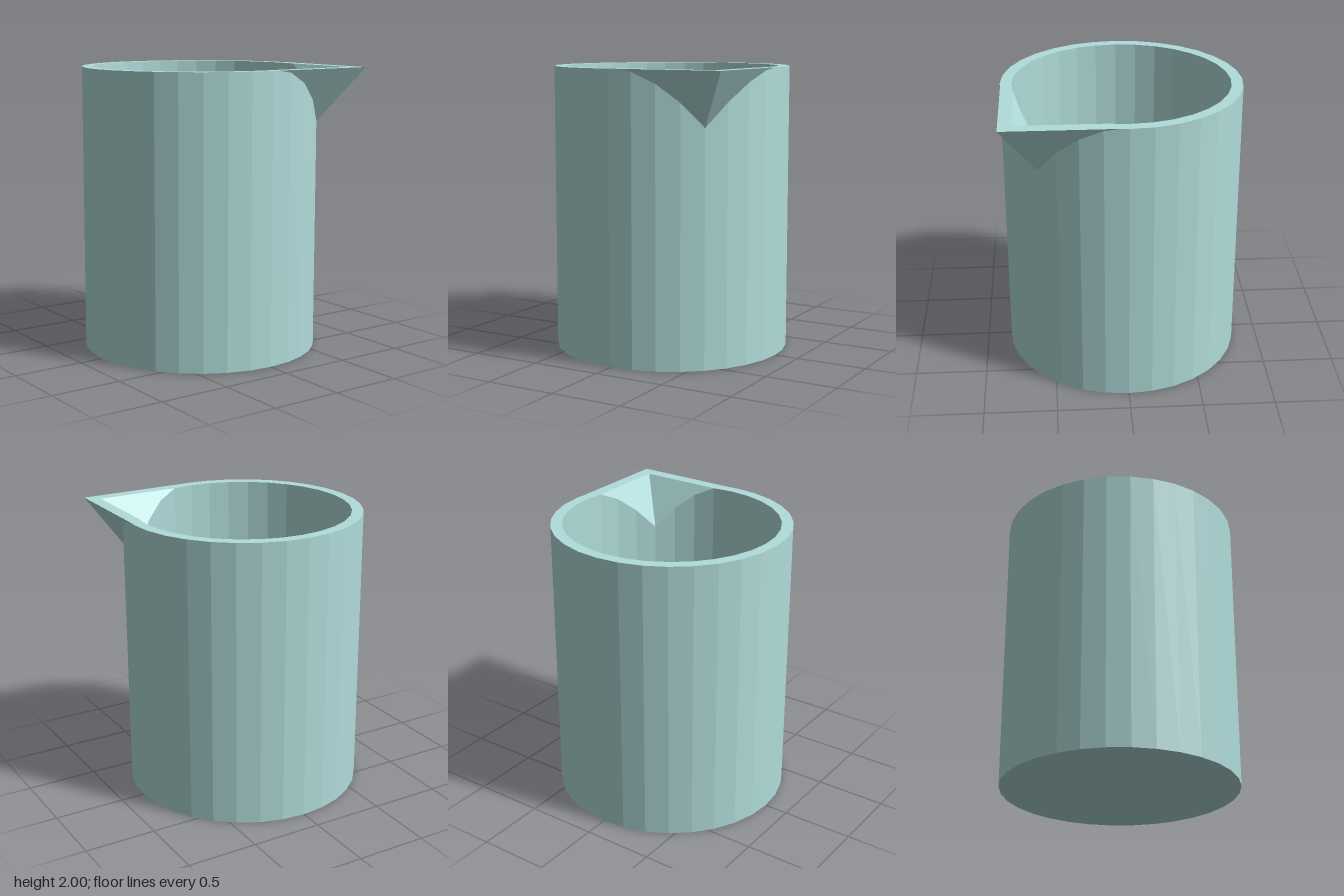
import * as THREE from 'three';

const TOP = 2, SIDES = 32;
const material = new THREE.MeshStandardMaterial({ color: 0xb0dcda, flatShading: true });

// Polygon ring of [x, z], with extra points where the square spout (half-width c) leaves the rim
function ring(R, c) {
  const points = [];
  for (let i = 0; i < SIDES; i++) {
    const a = (i / SIDES) * Math.PI * 2;
    points.push([R * Math.cos(a), R * Math.sin(a)]);
  }
  const step = (Math.PI * 2) / SIDES;
  const t = (R - c) / (R * (1 - Math.cos(step)));
  const along = t * R * Math.sin(step);
  points.splice(SIDES / 4, 0, [along, c]);
  points.splice(1, 0, [c, along]);
  return { points, first: 1, last: SIDES / 4 + 1 };
}

// Triangles to a flat-shaded mesh; flip turns the faces inward
function mesh(name, triangles, flip) {
  const data = [];
  for (const [a, b, c] of triangles) data.push(...a, ...(flip ? c : b), ...(flip ? b : c));
  const geometry = new THREE.BufferGeometry();
  geometry.setAttribute('position', new THREE.Float32BufferAttribute(data, 3));
  geometry.computeVertexNormals();
  const m = new THREE.Mesh(geometry, material);
  m.name = name;
  return m;
}

// One skin of the vessel: wall cut along the spout, end disc, and the two spout faces
function skin(side, R, c, base, depth, flip) {
  const { points, first, last } = ring(R, c);
  const tip = R * Math.SQRT1_2;
  const slope = depth / (c - tip);
  const rimHeight = (i) => {
    if (i <= first || i >= last) return TOP;
    return TOP - slope * (c - Math.max(...points[i]));
  };
  const upper = points.map(([x, z], i) => [x, rimHeight(i), z]);
  const lower = points.map(([x, z]) => [x, base, z]);
  const wall = [], disc = [], spout = [];
  points.forEach((_, i) => {
    const j = (i + 1) % points.length;
    wall.push([lower[i], upper[i], upper[j]], [lower[i], upper[j], lower[j]]);
    disc.push([[0, base, 0], lower[i], lower[j]]);
    if (i >= first && i < last) spout.push([upper[i], [c, TOP, c], upper[j]]);
  });
  const group = new THREE.Group();
  group.name = side + 'Skin';
  group.add(
    mesh(side + 'Wall', wall, flip),
    mesh(side + 'Base', disc, flip),
    mesh(side + 'Spout', spout, flip)
  );
  return group;
}

// Rim outline including the spout corner, in shape coordinates
function outline(R, c) {
  const { points, first, last } = ring(R, c);
  const path = [...points.slice(0, first + 1), [c, c], ...points.slice(last)];
  return path.map(([x, z]) => new THREE.Vector2(x, -z));
}

export function createModel() {
  const model = new THREE.Group();
  model.name = 'pouringBeaker';
  const outer = [0.83, 0.825], inner = [0.75, 0.736];

  model.add(skin('outer', ...outer, 0, 0.38, false));
  model.add(skin('inner', ...inner, 0.08, 0.32, true));

  // Flat rim joining both skins
  const shape = new THREE.Shape(outline(...outer));
  shape.holes.push(new THREE.Path(outline(...inner)));
  const rim = new THREE.Mesh(new THREE.ShapeGeometry(shape), material);
  rim.name = 'rim';
  rim.rotation.x = -Math.PI / 2;
  rim.position.y = TOP;
  model.add(rim);
  return model;
}
